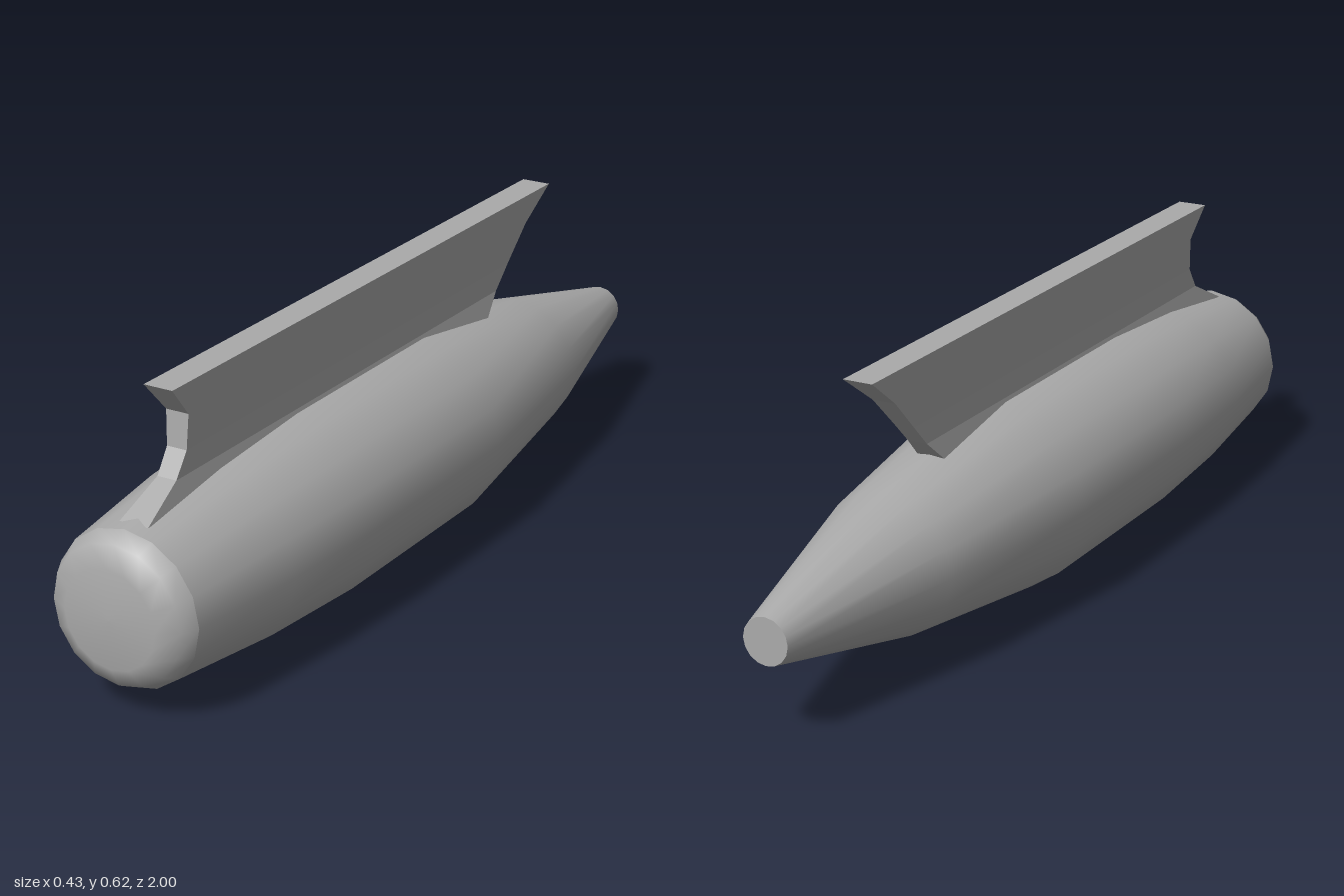
import * as THREE from 'three';

const CENTER_Y = 0.214;

export function createModel() {
  const model = new THREE.Group();
  const grey = new THREE.MeshStandardMaterial({ color: 0xaaaaaa });
  grey.name = 'grey';

  const add = (name, geometry) => {
    const mesh = new THREE.Mesh(geometry, grey);
    mesh.name = name;
    model.add(mesh);
  };

  // Sixteen-sided turned part along z, profile of [radius, z] from rear to front
  const turned = (profile) => {
    const points = profile.map(([r, z]) => new THREE.Vector2(r, z));
    return new THREE.LatheGeometry(points, 16).rotateX(Math.PI / 2).translate(0, CENTER_Y, 0);
  };

  // Tapered body, rounded nose and flat tail end
  add('body', turned([
    [0.05, -1], [0.153, -0.57], [0.214, -0.12], [0.214, 0.38], [0.198, 0.66], [0.166, 0.94],
  ]));
  add('nose', turned([[0.166, 0.94], [0.148, 0.975], [0.105, 0.998], [0, 1]]));
  add('tailCap', turned([[0, -1], [0.05, -1]]));

  // Pylon levels from bottom to top: [y, half width, front z, rear z]
  const levels = [
    [0.378, 0.033, 0.91, -0.38],
    [0.432, 0.022, 0.80, -0.44],
    [0.482, 0.023, 0.765, -0.49],
    [0.556, 0.026, 0.76, -0.565],
    [0.625, 0.033, 0.82, -0.66],
  ];
  const rings = levels.map(([y, w, front, rear]) => [
    [w, y, front], [-w, y, front], [-w, y, rear], [w, y, rear],
  ]);
  const positions = [];
  const quad = (a, b, c, d) => positions.push(...a, ...b, ...c, ...a, ...c, ...d);
  for (let i = 0; i < rings.length - 1; i++) {
    const low = rings[i];
    const high = rings[i + 1];
    for (let k = 0; k < 4; k++) {
      const n = (k + 1) % 4;
      quad(low[n], low[k], high[k], high[n]);
    }
  }
  const top = rings[rings.length - 1];
  quad(top[3], top[2], top[1], top[0]);
  quad(...rings[0]);
  const pylon = new THREE.BufferGeometry();
  pylon.setAttribute('position', new THREE.Float32BufferAttribute(positions, 3));
  pylon.computeVertexNormals();
  add('pylon', pylon);

  return model;
}
